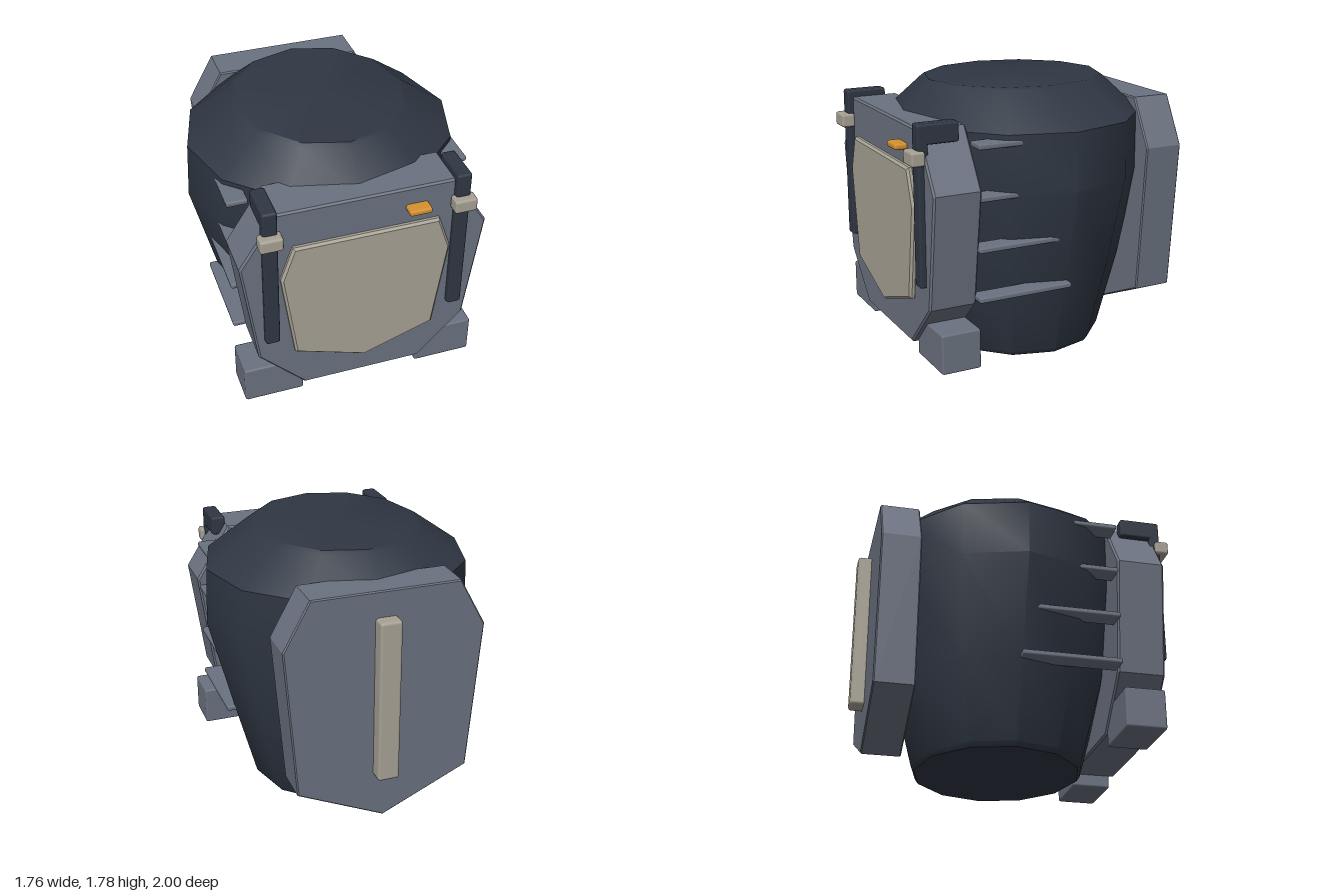
import * as THREE from 'three';
import { toCreasedNormals } from 'three/addons/utils/BufferGeometryUtils.js';
import { RoundedBoxGeometry } from 'three/addons/geometries/RoundedBoxGeometry.js';

const material = (name, color) => {
  const m = new THREE.MeshStandardMaterial({ color });
  m.name = name;
  return m;
};

export function createModel() {
  const model = new THREE.Group();
  model.name = 'armouredTorso';
  const navy = material('darkNavy', 0x2f3743);
  const gray = material('steelGray', 0x6b7280);
  const beige = material('warmBeige', 0xa8a295);
  const orange = material('amber', 0xd6922f);

  const add = (name, geometry, mat) => {
    const mesh = new THREE.Mesh(geometry, mat);
    mesh.name = name;
    model.add(mesh);
    return mesh;
  };

  // Box with small bevels, given by its lower and upper limits on each axis
  const box = (name, [x0, x1], [y0, y1], [z0, z1], mat, bevel = 0.012) => {
    const g = new RoundedBoxGeometry(x1 - x0, y1 - y0, z1 - z0, 1, bevel);
    g.translate((x0 + x1) / 2, (y0 + y1) / 2, (z0 + z1) / 2);
    return add(name, g, mat);
  };

  // Bevelled plate, symmetric about x = 0, from the outline of its +x half (top to bottom)
  const plate = (name, half, z0, z1, bevel, mat) => {
    const mirrored = half.filter(([x]) => x > 0).map(([x, y]) => [-x, y]).reverse();
    const shape = new THREE.Shape([...half, ...mirrored].map(([x, y]) => new THREE.Vector2(x, y)));
    const g = new THREE.ExtrudeGeometry(shape, {
      depth: z1 - z0 - 2 * bevel, bevelEnabled: true, bevelSegments: 1,
      bevelSize: bevel, bevelThickness: bevel, bevelOffset: -bevel,
    });
    g.translate(0, 0, z0 + bevel);
    return add(name, g, mat);
  };

  // Twelve-sided body: each ring is [y, x radius, z radius]
  const rings = [
    [0, 0, 0], [0, 0.56, 0.54], [0.03, 0.583, 0.562], [0.54, 0.718, 0.70],
    [1.18, 0.88, 0.815], [1.55, 0.865, 0.825], [1.765, 0.565, 0.61], [1.78, 0.54, 0.59], [1.78, 0, 0],
  ];
  const body = new THREE.LatheGeometry(rings.map(([y, rx]) => new THREE.Vector2(rx, y)), 12);
  const pos = body.attributes.position;
  for (let i = 0; i < pos.count; i++) {
    const [y, rx, rz] = rings[i % rings.length];
    const centre = -0.025 + 0.015 * y;
    pos.setZ(i, centre + (rx ? pos.getZ(i) * rz / rx : 0));
  }
  add('body', toCreasedNormals(body, 0.6), navy);

  // Chest armour and its inset panel
  plate('frontPlate', [[0.56, 1.6], [0.79, 1.24], [0.69, 0.5], [0.39, 0.19]], 0.6, 0.912, 0.012, gray);
  plate('frontPanel', [[0.465, 1.35], [0.545, 1.12], [0.46, 0.51], [0, 0.35]], 0.9, 0.948, 0.015, beige);

  // Back pack with a central spine
  plate('backPlate', [[0.48, 1.64], [0.65, 1.33], [0.57, 0.34], [0, 0.08]], -0.91, -0.65, 0.008, gray);
  box('backSpine', [-0.072, 0.072], [0.39, 1.47], [-1, -0.88], beige, 0.02);

  // Status lamp
  box('chestLamp', [0.248, 0.392], [1.442, 1.482], [0.89, 0.99], orange, 0.015);

  // Parts mirrored on both sides
  for (const [side, s] of [['left', 1], ['right', -1]]) {
    const span = (a, b) => (s > 0 ? [a, b] : [-b, -a]);
    box(side + 'Strap', span(0.558, 0.652), [0.635, 1.645], [0.88, 0.95], navy, 0.015);
    box(side + 'StrapHook', span(0.558, 0.652), [1.52, 1.645], [0.68, 0.945], navy, 0.015);
    box(side + 'StrapClip', span(0.535, 0.68), [1.4, 1.49], [0.91, 1], beige, 0.016);
    box(side + 'HipBlock', span(0.39, 0.78), [0.105, 0.365], [0.61, 0.872], gray, 0.014);
    // Side fins, partly sunk in the body
    [0.54, 0.86, 1.18, 1.5].forEach((y, i) =>
      box(side + 'Fin' + (i + 1), span(0.64, 0.775), [y - 0.018, y + 0.018], [-0.03, 0.61], gray, 0.012));
  }
  return model;
}
